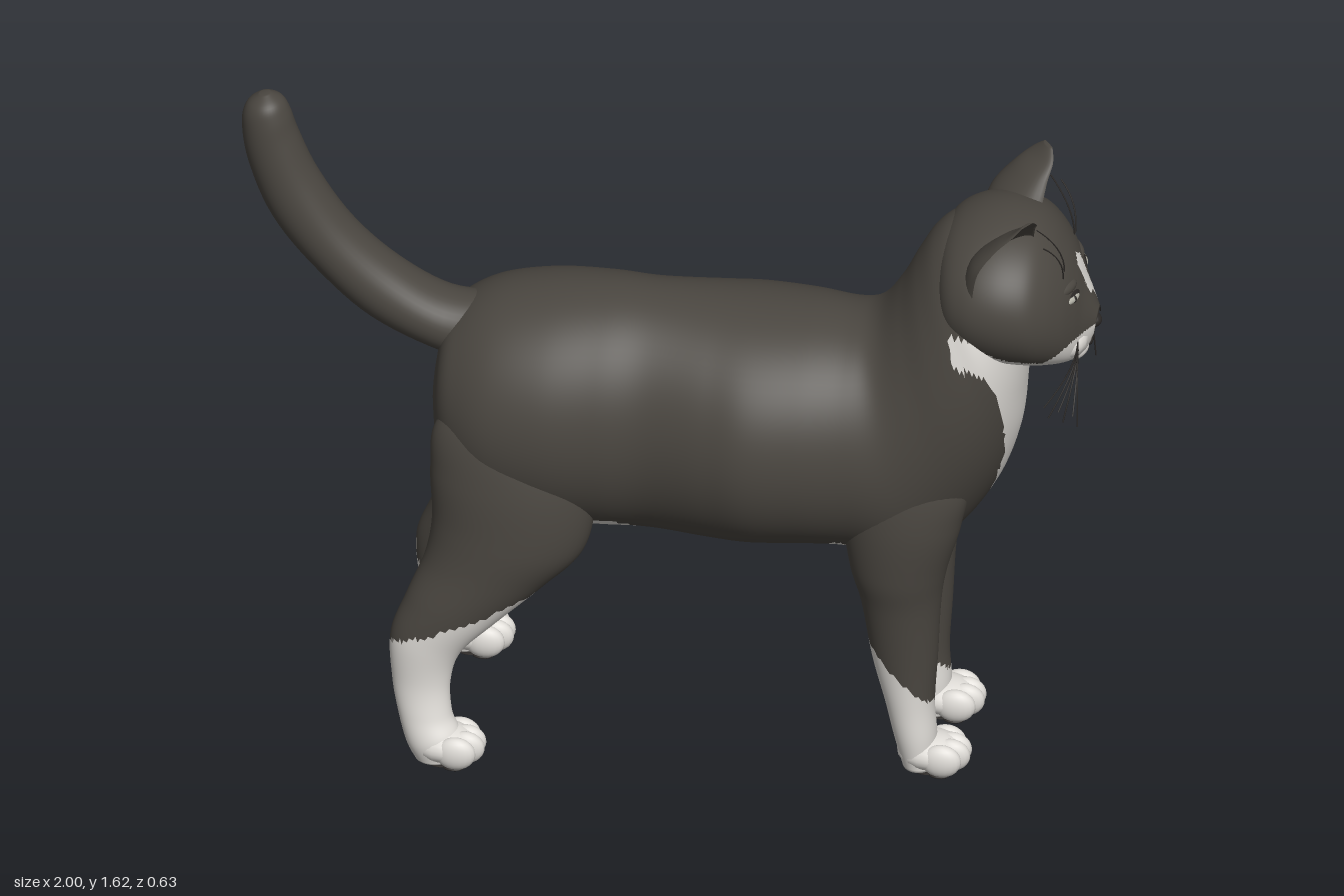
import * as THREE from 'three';

const mat = (name, color) => {
  const m = new THREE.MeshStandardMaterial({ color });
  m.name = name;
  return m;
};
const dark = mat('dark fur', 0x4a4640);
const white = mat('white fur', 0xdedbd6);
const black = mat('nose and pads', 0x2b2826);
const iris = mat('eye', 0xb4b3a8);

// Piecewise linear lookup in [[v, result], ...]
const at = (table, v) => {
  if (v <= table[0][0]) return table[0][1];
  for (let i = 1; i < table.length; i++) {
    const [a, p] = table[i - 1], [b, q] = table[i];
    if (v <= b) return p + (q - p) * (v - a) / (b - a);
  }
  return table[table.length - 1][1];
};
const spline = (a, b, c, d, t) =>
  b + 0.5 * t * (c - a + t * (2 * a - 5 * b + 4 * c - d + t * (3 * (b - c) + d - a)));

// Skin over elliptical rings. Row: [x1, y1, x2, y2, halfWidth, zCentre]; the ring
// spans the two side-profile points. cup > 0 hollows the first side of each ring.
function loft(rows, { side = 1, segs = 40, steps = 6, cup = 0 } = {}) {
  const pos = [], index = [], rings = [];
  const row = i => rows[Math.max(0, Math.min(rows.length - 1, i))];
  for (let i = 0; i < rows.length - 1; i++)
    for (let s = 0; s < steps; s++)
      rings.push([0, 1, 2, 3, 4, 5].map(k => spline(
        ...[-1, 0, 1, 2].map(o => row(i + o)[k] || 0), s / steps)));
  rings.push(row(rows.length - 1));
  for (const [x1, y1, x2, y2, w, z = 0] of rings)
    for (let j = 0; j < segs; j++) {
      const a = j / segs * Math.PI * 2;
      let c = Math.cos(a);
      if (cup && c > 0) c *= -cup;
      pos.push((x1 + x2) / 2 + c * (x1 - x2) / 2, (y1 + y2) / 2 + c * (y1 - y2) / 2,
        side * (z + w * Math.sin(a)));
    }
  const n = rings.length;
  for (let i = 0; i < n - 1; i++)
    for (let j = 0; j < segs; j++) {
      const a = i * segs + j, b = i * segs + (j + 1) % segs;
      index.push(a, b, a + segs, b, b + segs, a + segs);
    }
  // End caps
  [0, n - 1].forEach((r, e) => {
    const [x1, y1, x2, y2, , z = 0] = rings[r];
    const c = pos.length / 3;
    pos.push((x1 + x2) / 2, (y1 + y2) / 2, side * z);
    for (let j = 0; j < segs; j++) {
      const a = r * segs + j, b = r * segs + (j + 1) % segs;
      e ? index.push(c, a, b) : index.push(c, b, a);
    }
  });
  // Turn the skin outwards if its volume is negative
  const P = i => new THREE.Vector3().fromArray(pos, i * 3);
  let vol = 0;
  for (let i = 0; i < index.length; i += 3)
    vol += P(index[i]).dot(P(index[i + 1]).cross(P(index[i + 2])));
  if (vol < 0) index.reverse();
  const g = new THREE.BufferGeometry();
  g.setAttribute('position', new THREE.Float32BufferAttribute(pos, 3));
  g.setIndex(index);
  g.computeVertexNormals();
  return g;
}

// Split the faces between dark and white fur by a rule on their centres
function coat(g, isWhite) {
  const p = g.attributes.position, ix = g.index.array, parts = [[], []];
  for (let i = 0; i < ix.length; i += 3) {
    const t = [ix[i], ix[i + 1], ix[i + 2]];
    const mid = f => t.reduce((s, v) => s + p[f](v), 0) / 3;
    parts[isWhite(mid('getX'), mid('getY'), mid('getZ')) ? 1 : 0].push(...t);
  }
  g.setIndex([...parts[0], ...parts[1]]);
  g.addGroup(0, parts[0].length, 0);
  g.addGroup(parts[0].length, parts[1].length, 1);
  return g;
}

const BODY = [
  [-0.545, 0.95, -0.55, 0.82, 0.07], [-0.525, 1.05, -0.53, 0.72, 0.16], [-0.48, 1.1, -0.48, 0.63, 0.215],
  [-0.4, 1.14, -0.4, 0.58, 0.255], [-0.28, 1.163, -0.28, 0.56, 0.27], [-0.15, 1.17, -0.15, 0.555, 0.257],
  [-0.04, 1.165, -0.04, 0.555, 0.248], [0.1, 1.16, 0.1, 0.55, 0.28], [0.2, 1.157, 0.2, 0.55, 0.3],
  [0.32, 1.153, 0.32, 0.555, 0.287], [0.42, 1.147, 0.43, 0.55, 0.264], [0.48, 1.17, 0.57, 0.52, 0.25],
  [0.53, 1.24, 0.68, 0.62, 0.243], [0.57, 1.32, 0.765, 0.75, 0.24], [0.61, 1.385, 0.81, 0.88, 0.23],
  [0.66, 1.42, 0.823, 1.0, 0.21], [0.74, 1.43, 0.83, 1.09, 0.14]];
const HEAD = [
  [0.61, 1.34, 0.62, 1.2, 0.08], [0.645, 1.41, 0.65, 1.14, 0.18], [0.7, 1.445, 0.7, 1.11, 0.223],
  [0.77, 1.457, 0.77, 1.09, 0.236], [0.84, 1.445, 0.84, 1.083, 0.225], [0.885, 1.415, 0.885, 1.08, 0.195],
  [0.92, 1.37, 0.92, 1.08, 0.155], [0.943, 1.325, 0.943, 1.085, 0.115], [0.96, 1.28, 0.957, 1.095, 0.08],
  [0.977, 1.24, 0.967, 1.11, 0.052], [0.99, 1.208, 0.978, 1.135, 0.03]];
const TAIL = [
  [-0.4, 1.12, -0.4, 0.94, 0.08], [-0.52, 1.12, -0.53, 0.97, 0.087], [-0.64, 1.19, -0.7, 1.05, 0.082],
  [-0.745, 1.29, -0.83, 1.17, 0.078], [-0.825, 1.415, -0.93, 1.3, 0.072], [-0.87, 1.52, -0.985, 1.44, 0.064],
  [-0.888, 1.575, -1.0, 1.54, 0.057], [-0.905, 1.605, -0.99, 1.59, 0.044], [-0.935, 1.622, -0.96, 1.618, 0.013]];
const FRONT_LEG = [
  [0.61, 0.98, 0.49, 0.98, 0.03, 0.15], [0.7, 0.8, 0.4, 0.85, 0.08, 0.145], [0.69, 0.68, 0.41, 0.7, 0.1, 0.14],
  [0.655, 0.55, 0.43, 0.55, 0.097, 0.132], [0.64, 0.45, 0.455, 0.45, 0.085, 0.125], [0.632, 0.3, 0.48, 0.3, 0.07, 0.123],
  [0.625, 0.18, 0.51, 0.18, 0.062, 0.123], [0.63, 0.09, 0.53, 0.09, 0.06, 0.122], [0.63, 0.01, 0.55, 0.01, 0.052, 0.12]];
const HIND_LEG = [
  [-0.3, 0.98, -0.42, 0.98, 0.02, 0.165], [-0.2, 0.84, -0.525, 0.87, 0.075, 0.165], [-0.16, 0.7, -0.54, 0.75, 0.104, 0.165],
  [-0.18, 0.56, -0.535, 0.62, 0.108, 0.17], [-0.27, 0.46, -0.55, 0.52, 0.1, 0.178], [-0.38, 0.36, -0.59, 0.42, 0.08, 0.2],
  [-0.46, 0.28, -0.625, 0.32, 0.06, 0.216], [-0.485, 0.2, -0.62, 0.2, 0.05, 0.222], [-0.48, 0.12, -0.605, 0.12, 0.051, 0.233],
  [-0.46, 0.07, -0.585, 0.05, 0.057, 0.243], [-0.47, 0.01, -0.565, 0.01, 0.048, 0.245]];
const EAR = [
  [0.06, -0.06, -0.11, -0.06, 0.1], [0.058, 0.02, -0.08, 0.02, 0.095], [0.06, 0.08, -0.022, 0.08, 0.068],
  [0.066, 0.115, 0.025, 0.115, 0.046], [0.066, 0.139, 0.05, 0.139, 0.018]];

// Coat markings: chest bib, belly, muzzle, blaze and inner hind legs
const bibWidth = [[0.55, 0.04], [0.6, 0.047], [0.7, 0.068], [0.8, 0.117], [0.85, 0.125],
  [0.95, 0.17], [1.07, 0.21], [1.15, 0.25]];
const bibBack = [[0.55, 0.54], [0.7, 0.62], [0.82, 0.73], [0.98, 0.72], [1.1, 0.69], [1.22, 0.67]];
const bellyTop = [[-0.3, 0.62], [-0.12, 0.63], [-0.02, 0.56], [0.05, 0.54], [0.28, 0.54], [0.4, 0.62], [0.5, 0.56]];
const jawTop = [[0.64, 1.24], [0.72, 1.205], [0.8, 1.16], [0.88, 1.14], [0.94, 1.18]];
const innerBack = [[0.2, -0.55], [0.4, -0.47], [0.6, -0.36]];
const innerSide = [[0.2, 0.212], [0.4, 0.195], [0.6, 0.16]];
const bodyWhite = (x, y, z) =>
  (x > at(bibBack, y) && y < 1.23 && Math.abs(z + 0.02) < at(bibWidth, y)) ||
  (x > -0.4 && x < 0.56 && (y < at(bellyTop, x) || (y < 0.7 && Math.abs(z) < 0.07)));
const headWhite = (x, y, z) => y < at(jawTop, x) && !(x > 0.95 && y > 1.13 && Math.abs(z) < 0.025) ||
  (x > 0.88 && y >= 1.25 && y < 1.345 - Math.abs(z + 0.01) * 0.6 && z > -0.034 && z < 0.013) ||
  (x > 0.9 && y < 1.25 && y > 1.12 && z < -0.01 - (1.25 - y) * 0.3 && z > -0.045 - (1.25 - y) * 0.8);

export function createModel() {
  const cat = new THREE.Group();
  cat.name = 'cat';
  const add = (name, geometry, material, parent = cat) => {
    const m = new THREE.Mesh(geometry, material);
    m.name = name;
    parent.add(m);
    return m;
  };
  const blob = (name, material, p, r, parent) => {
    const m = add(name, new THREE.SphereGeometry(1, 20, 14), material, parent);
    m.position.set(...p);
    m.scale.set(...r);
    return m;
  };
  const hair = (name, ...pts) => add(name, new THREE.TubeGeometry(
    new THREE.QuadraticBezierCurve3(...pts.map(p => new THREE.Vector3(...p))), 8, 0.0018, 4), black);
  const fur = [dark, white];

  add('body', coat(loft(BODY, { segs: 80, steps: 8 }), bodyWhite), fur);
  add('head', coat(loft(HEAD, { segs: 96, steps: 8 }), headWhite), fur);
  add('tail', loft(TAIL), dark);
  blob('nose', black, [0.976, 1.172, 0], [0.02, 0.017, 0.022]);
  blob('chin', white, [0.93, 1.1, 0], [0.036, 0.028, 0.05]);
  blob('mouth', black, [0.968, 1.113, -0.005], [0.007, 0.011, 0.014]);

  for (const s of [1, -1]) {
    const which = s > 0 ? 'left' : 'right';
    blob(which + 'MuzzlePad', white, [0.915, 1.15, s * 0.052], [0.056, 0.044, 0.06]);

    // Narrow eye with a dark rim and pupil
    for (const [name, m, x, r] of [['EyeRim', black, 0.926, [0.018, 0.021, 0.045]],
      ['Eye', iris, 0.93, [0.018, 0.013, 0.036]], ['Pupil', black, 0.943, [0.007, 0.01, 0.007]]])
      blob(which + name, m, [x, 1.28, s * 0.088], r).rotation.y = -s * 0.5;
    blob(which + 'Brow', dark, [0.915, 1.306, s * 0.09], [0.023, 0.018, 0.05]).rotation.y = -s * 0.5;

    // Hollow ear turned outwards
    const ear = loft(EAR, { side: s, cup: 0.5, segs: 32 });
    ear.rotateY(-s * 0.6);
    add(which + 'Ear', ear, dark).position.set(0.8, 1.388, s * 0.146);

    // Legs
    const sock = s > 0 ? 1.05 : 1.5, strip = s > 0 ? 0.1 : 0.25;
    add(which + 'FrontLeg', coat(loft(FRONT_LEG, { side: s, segs: 48, steps: 8 }),
      (x, y) => y < 0.33 - (x - 0.49) * sock), fur);
    add(which + 'HindLeg', coat(loft(HIND_LEG, { side: s, segs: 48, steps: 8 }), (x, y, z) =>
      Math.abs(z) < at(innerSide, y) ? y < strip || (y < 0.62 && x > at(innerBack, y))
        : y < 0.31 + (x + 0.62) * 0.42), fur);

    // Paws: instep, four toes and dark pads
    for (const [name, x, z] of [['FrontPaw', 0.61, 0.12], ['HindPaw', -0.5, 0.243]]) {
      const paw = new THREE.Group();
      paw.name = which + name;
      paw.position.set(x, 0, s * z);
      cat.add(paw);
      blob('instep', white, [0.005, 0.046, 0], [0.078, 0.044, 0.066], paw);
      for (const k of [-1.5, -0.5, 0.5, 1.5]) {
        const tx = Math.abs(k) > 1 ? 0.035 : 0.052;
        blob('toe', white, [tx, 0.043, k * 0.03], [0.047, 0.041, 0.025], paw);
        blob('toePad', black, [tx - 0.004, 0.005, k * 0.03], [0.024, 0.005, 0.015], paw);
      }
      blob('solePad', black, [0, 0.005, 0], [0.044, 0.005, 0.05], paw);
    }

    // Whiskers and brow hairs
    for (let i = 0; i < 6; i++) {
      const y = 1.165 - i * 0.009, reach = 0.28 - i * 0.025;
      hair(which + 'Whisker', [0.95, y, s * 0.07], [0.97 - i * 0.003, y, s * (0.1 + reach) / 2],
        [0.9 + (i % 3) * 0.03, 1.1 - i * 0.025, s * reach]);
    }
    for (const k of [0, 1])
      hair(which + 'BrowHair', [0.92, 1.34, s * (0.08 + k * 0.02)], [0.925, 1.41, s * (0.08 + k * 0.04)],
        [0.86 + k * 0.02, 1.48 - k * 0.03, s * (0.12 + k * 0.03)]);
  }
  return cat;
}
